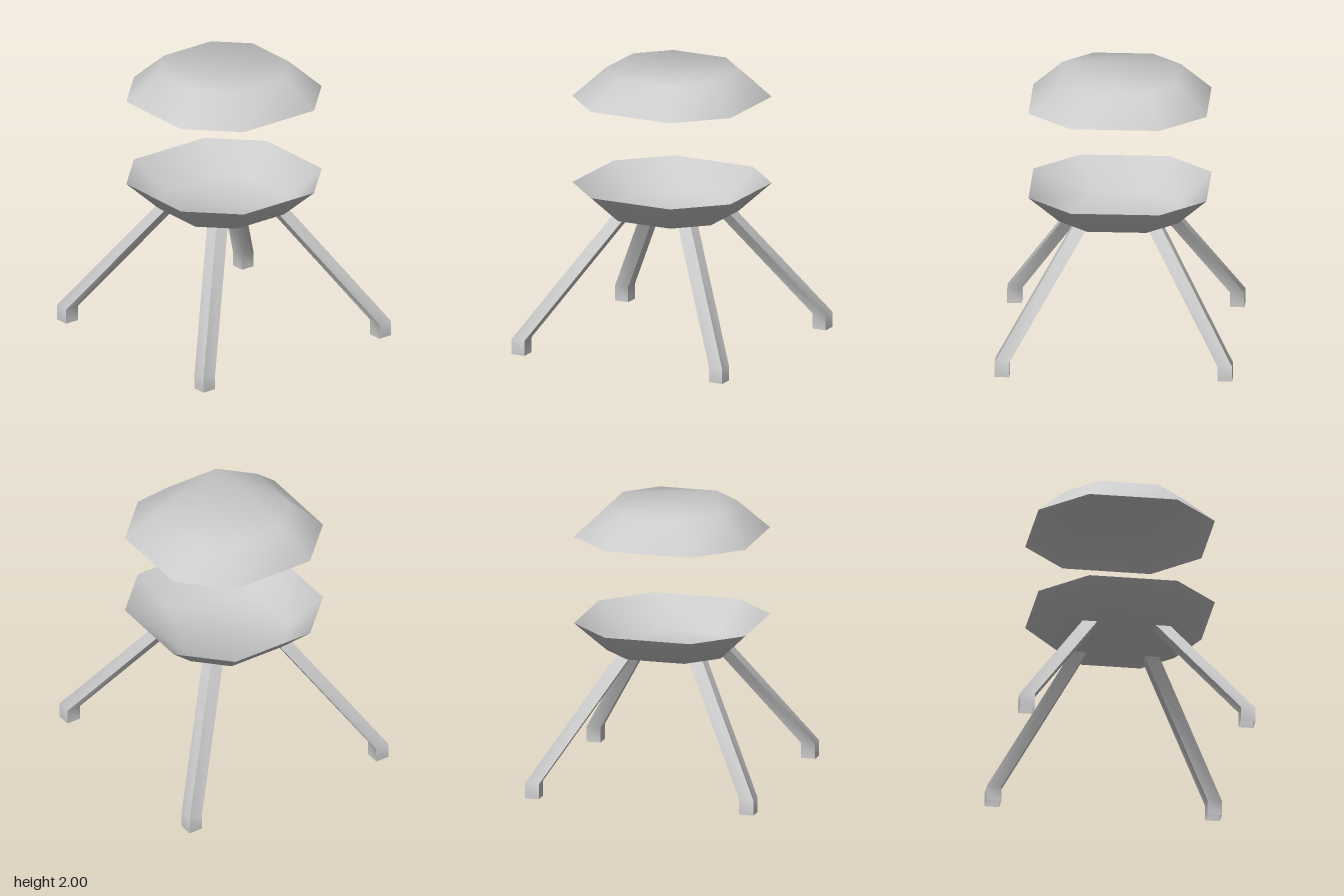
import * as THREE from 'three';
import { toCreasedNormals } from 'three/addons/utils/BufferGeometryUtils.js';

const material = new THREE.MeshStandardMaterial({ color: 0xcccccc, side: THREE.DoubleSide });

// Skin a list of equal-sized rings (ordered bottom to top, counter-clockwise seen from below)
function loft(rings, capEnd) {
  const n = rings[0].length;
  const index = [];
  for (let r = 0; r < rings.length - 1; r++) {
    for (let i = 0; i < n; i++) {
      const a = r * n + i, b = r * n + (i + 1) % n;
      index.push(a, a + n, b, b, a + n, b + n);
    }
  }
  if (capEnd) {
    const s = (rings.length - 1) * n;
    for (let i = 1; i < n - 1; i++) index.push(s, s + i + 1, s + i);
  }
  const geometry = new THREE.BufferGeometry();
  geometry.setAttribute('position', new THREE.Float32BufferAttribute(rings.flat(2), 3));
  geometry.setIndex(index);
  return toCreasedNormals(geometry, Math.PI / 3);
}

// Square with its corners cut off
function octagonRing(half, y) {
  const c = half / 2;
  return [[half, c], [c, half], [-c, half], [-half, c], [-half, -c], [-c, -half], [c, -half], [half, -c]]
    .map(([x, z]) => [x, y, z]);
}

// Square section between inner and outer offsets along the diagonal
function legRing(inner, outer, y) {
  return [[inner, inner], [inner, outer], [outer, outer], [outer, inner]].map(([x, z]) => [x, y, z]);
}

export function createModel() {
  const group = new THREE.Group();

  // Shallow open dish, wide at its rim and flat at the top
  const rise = 0.207;
  const dish = loft([octagonRing(0.63, 0), octagonRing(0.42, rise)], true);

  const canopy = new THREE.Mesh(dish, material);
  canopy.name = 'canopy';
  canopy.position.y = 2 - rise;
  group.add(canopy);

  // The same dish turned over, opening upwards
  const bowl = new THREE.Mesh(dish, material);
  bowl.name = 'bowl';
  bowl.rotation.x = Math.PI;
  bowl.position.y = 0.953 + rise;
  group.add(bowl);

  // Splayed legs with short upright feet, open at the ends
  const legGeometry = loft([
    legRing(0.736, 0.84, 0),
    legRing(0.736, 0.84, 0.11),
    legRing(0.21, 0.314, 0.953),
  ], false);
  ['frontLeftLeg', 'backLeftLeg', 'backRightLeg', 'frontRightLeg'].forEach((name, i) => {
    const leg = new THREE.Mesh(legGeometry, material);
    leg.name = name;
    leg.rotation.y = i * Math.PI / 2;
    group.add(leg);
  });

  return group;
}
